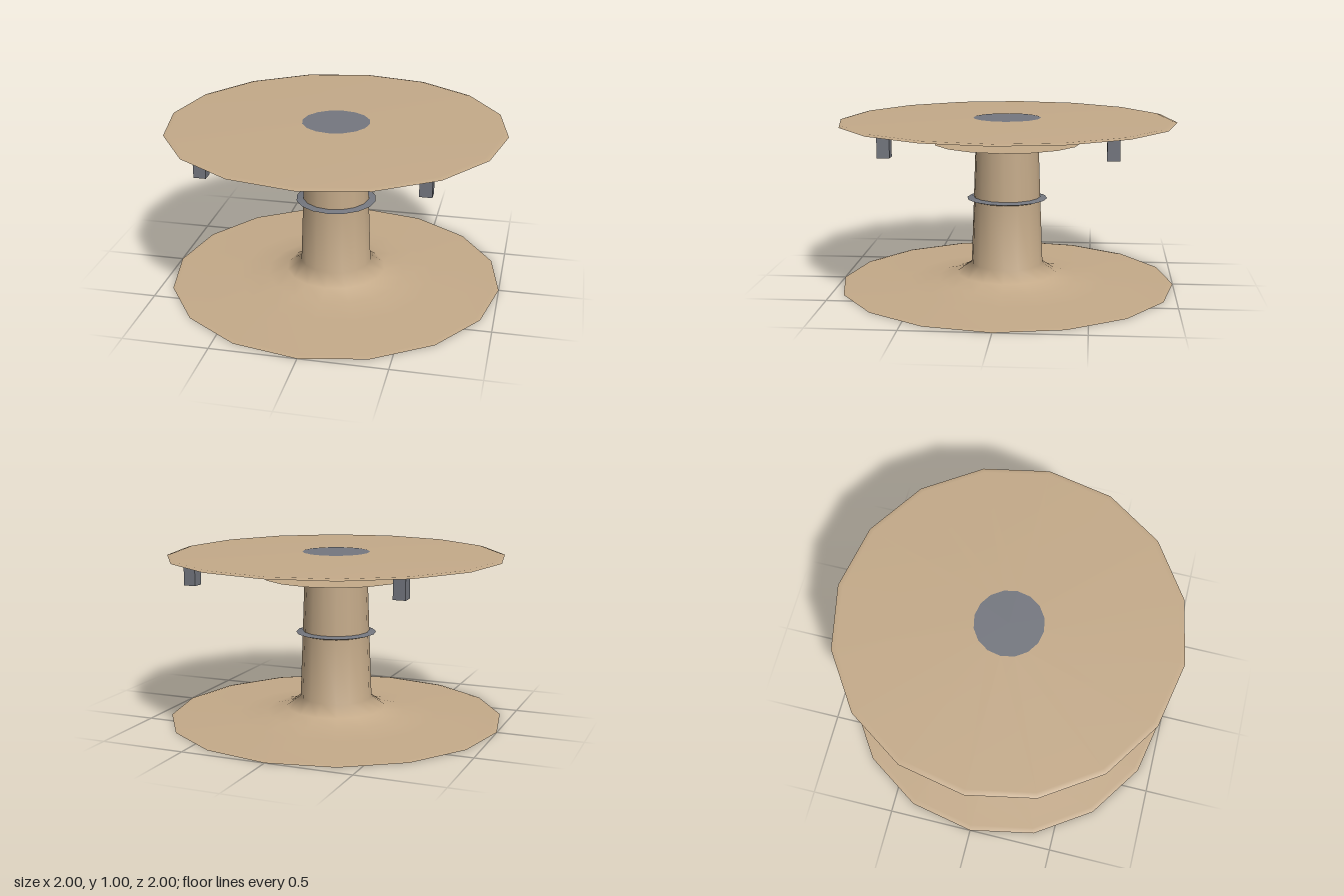
import * as THREE from 'three';

const SIDES = 16;

export function createModel() {
  const wood = new THREE.MeshStandardMaterial({ color: 0xc4aa89 });
  wood.name = 'tan wood';
  const metal = new THREE.MeshStandardMaterial({ color: 0x74777f });
  metal.name = 'grey metal';

  const model = new THREE.Group();
  model.name = 'pedestalTable';

  const add = (name, geometry, material, x = 0, y = 0, z = 0) => {
    const mesh = new THREE.Mesh(geometry, material);
    mesh.name = name;
    mesh.position.set(x, y, z);
    model.add(mesh);
    return mesh;
  };

  // Turned part; profile points [radius, height] run so that faces point outward
  const turned = (name, profile, material) =>
    add(name, new THREE.LatheGeometry(profile.map(([r, y]) => new THREE.Vector2(r, y)), SIDES), material);

  // Flared foot and column
  turned('footUnderside', [[0, 0], [1, 0]], wood);
  turned('footAndColumn', [
    [1, 0], [0.97, 0.006], [0.6, 0.012], [0.42, 0.03], [0.3, 0.06],
    [0.215, 0.12], [0.2, 0.51], [0.188, 0.85],
  ], wood);

  // Collar around the column: wooden underside, metal upper face
  turned('collarUnderside', [[0.2, 0.505], [0.24, 0.517]], wood);
  turned('collarTop', [[0.24, 0.517], [0.198, 0.527]], metal);

  // Thin support plate on the column
  turned('supportPlateUnderside', [[0.188, 0.85], [0.44, 0.853]], wood);
  turned('supportPlateTop', [[0.44, 0.853], [0, 0.856]], wood);

  // Table top with a softly rounded rim and a flush metal disc
  turned('tableTopUnderside', [[0, 0.98], [1, 0.98]], wood);
  turned('tableTop', [[1, 0.98], [0.97, 0.988], [0.2, 0.999], [0, 0.999]], wood);
  turned('centreDisc', [[0.2, 1.0], [0, 1.0]], metal);

  // Four square pegs under the table top
  for (const x of [-0.62, 0.62]) {
    for (const z of [-0.62, 0.62]) {
      add('peg', new THREE.BoxGeometry(0.07, 0.126, 0.07), metal, x, 0.918, z);
    }
  }
  return model;
}
